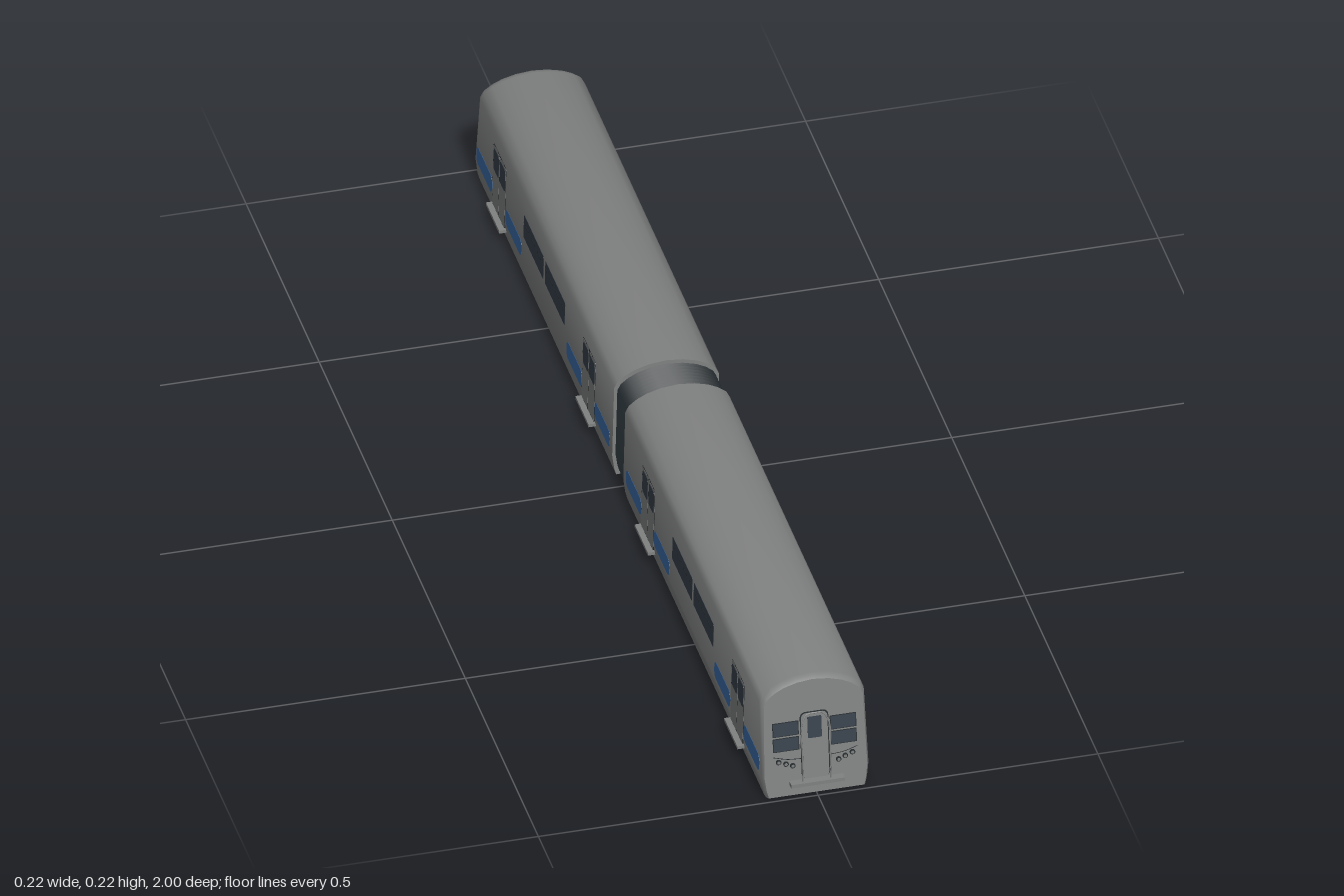
import * as THREE from 'three';
import { toCreasedNormals } from 'three/addons/utils/BufferGeometryUtils.js';

const mat = (name, color) => {
  const m = new THREE.MeshStandardMaterial({ color });
  m.name = name;
  return m;
};

// right half of the car's cross-section, bottom to top
const HALF = [[0.09, 0], [0.0935, 0.014], [0.097, 0.04], [0.0935, 0.181], [0.087, 0.1935],
  [0.073, 0.2045], [0.055, 0.2135], [0.03, 0.2205], [0, 0.2235]];
const SECTION = [...HALF, ...HALF.slice(0, -1).reverse().map(([x, y]) => [-x, y])];
const CY = 0.11;
const frontZ = y => 0.99 - 0.13 * y;                // raked cab face
const wallX = y => 0.097 - 0.0248 * (y - 0.04);     // side wall leaning inwards

// skin through rings of equal length with closed ends; open leaves out the underside
function loft(rings, crease, open) {
  const n = rings[0].length, pos = rings.flat(2), idx = [];
  for (let r = 0; r < rings.length - 1; r++) {
    for (let i = 0; i < (open ? n - 1 : n); i++) {
      const a = r * n + i, b = r * n + (i + 1) % n;
      idx.push(a, b, b + n, a, b + n, a + n);
    }
  }
  for (const [r, flip] of [[0, true], [rings.length - 1, false]]) {
    const c = pos.length / 3;
    const mean = k => rings[r].reduce((s, p) => s + p[k], 0) / n;
    pos.push(mean(0), mean(1), mean(2));
    for (let i = 0; i < n; i++) {
      const a = r * n + i, b = r * n + (i + 1) % n;
      idx.push(...(flip ? [c, b, a] : [c, a, b]));
    }
  }
  const g = new THREE.BufferGeometry();
  g.setAttribute('position', new THREE.Float32BufferAttribute(pos, 3));
  g.setIndex(idx);
  return toCreasedNormals(g, crease);
}

// cross-section shrunk by an inset (bottom by its own amount), set on a slope z(y)
const ring = (inset, z, bottom = 0) => SECTION.map(([x, y]) => {
  const dy = y > CY ? inset : bottom;
  const py = CY + (y - CY) * (1 - dy / CY);
  return [x * (1 - inset / 0.095), py, z(py)];
});

function roundedRect(u0, u1, v0, v1, r) {
  const s = new THREE.Shape();
  s.moveTo(u0 + r, v0);
  s.lineTo(u1 - r, v0).absarc(u1 - r, v0 + r, r, -Math.PI / 2, 0);
  s.lineTo(u1, v1 - r).absarc(u1 - r, v1 - r, r, 0, Math.PI / 2);
  s.lineTo(u0 + r, v1).absarc(u0 + r, v1 - r, r, Math.PI / 2, Math.PI);
  s.lineTo(u0, v0 + r).absarc(u0 + r, v0 + r, r, Math.PI, Math.PI * 1.5);
  return s;
}

export function createModel() {
  const grey = mat('bodyGrey', 0x808281);
  const blue = mat('stripeBlue', 0x3c6caa);
  const glass = mat('windowDark', 0x38414c);
  const dark = mat('seamDark', 0x2a2f32);
  const rubber = mat('bellowsBlack', 0x20282c);

  const add = (parent, name, geo, material, x = 0, y = 0, z = 0) => {
    const m = new THREE.Mesh(geo, material);
    m.name = name;
    m.position.set(x, y, z);
    parent.add(m);
    return m;
  };

  // thin plate lying on a side wall (side = 1 or -1) or on the cab face (side = 0)
  function plate(parent, name, side, a0, a1, v0, v1, r, depth, material) {
    const [u0, u1] = side === 1 ? [-a1, -a0] : [a0, a1];
    const g = new THREE.ExtrudeGeometry(roundedRect(u0, u1, v0, v1, Math.max(r, 0.0003)),
      { depth: depth + 0.001, bevelEnabled: false, curveSegments: 5 });
    g.translate(0, 0, -0.001);
    g.rotateY(side * Math.PI / 2);
    const p = g.attributes.position;
    for (let i = 0; i < p.count; i++) {
      const y = p.getY(i);
      if (side) p.setX(i, p.getX(i) + side * wallX(y));
      else p.setZ(i, p.getZ(i) + frontZ(y));
    }
    g.computeVertexNormals();
    return add(parent, name, g, material);
  }

  function sideDetails(car, s) {
    // blue stripe panels
    for (const [a, b] of [[0.055, 0.16], [0.247, 0.352], [0.66, 0.768], [0.86, 0.968]]) {
      plate(car, 'bluePanel', s, a, b, 0.043, 0.076, 0.013, 0.0004, blue);
    }
    // two long windows with dividing bars
    for (const a of [0.368, 0.514]) {
      plate(car, 'sideWindow', s, a, a + 0.135, 0.094, 0.14, 0.003, 0.0004, glass);
      plate(car, 'windowBar', s, a, a + 0.135, 0.123, 0.1242, 0, 0.0007, dark);
    }
    // double doors with panes and a step
    for (const c of [0.203, 0.815]) {
      plate(car, 'doorSeam', s, c - 0.043, c + 0.043, 0.028, 0.153, 0.006, 0.0003, dark);
      for (const d of [-1, 1]) {
        const m = c + d * 0.0213;
        plate(car, 'doorLeaf', s, m - 0.0203, m + 0.0203, 0.029, 0.1515, 0.004, 0.0006, grey);
        plate(car, 'doorWindow', s, m - 0.018, m + 0.018, 0.102, 0.146, 0.007, 0.0009, glass);
      }
      add(car, 'doorStep', new THREE.BoxGeometry(0.018, 0.006, 0.09), grey, s * 0.099, 0.025, c);
    }
  }

  function cab(car) {
    // centre door with pane
    plate(car, 'cabDoorSeam', 0, -0.0255, 0.0255, 0.03, 0.157, 0.01, 0.0008, dark);
    plate(car, 'cabDoor', 0, -0.0235, 0.0235, 0.03, 0.155, 0.009, 0.002, grey);
    plate(car, 'cabDoorWindow', 0, -0.0125, 0.0125, 0.107, 0.148, 0.002, 0.0025, glass);
    // arched rail around the door
    const path = [[-1, 0.03], [-1, 0.08], [-1, 0.135], [-0.6, 0.155], [0, 0.157],
      [0.6, 0.155], [1, 0.135], [1, 0.08], [1, 0.03]]
      .map(([x, y]) => new THREE.Vector3(x * 0.025, y, frontZ(y) + (y > 0.15 ? 0.006 : 0.009)));
    add(car, 'doorRail', new THREE.TubeGeometry(new THREE.CatmullRomCurve3(path), 40, 0.0013, 6), grey);
    add(car, 'cabStep', new THREE.BoxGeometry(0.096, 0.007, 0.03), grey, 0, 0.0255, 0.985);
    for (const s of [-1, 1]) {
      // windscreens in two rows
      for (const [v0, v1] of [[0.087, 0.113], [0.116, 0.143]]) {
        const [a, b] = s > 0 ? [0.028, 0.075] : [-0.075, -0.028];
        plate(car, 'windscreenFrame', 0, a, b, v0, v1, 0.001, 0.0005, dark);
        plate(car, 'windscreen', 0, a + 0.0015, b - 0.0015, v0 + 0.0015, v1 - 0.0015, 0.001, 0.001, glass);
      }
      // trim line and three lamps below
      const line = [[0.026, 0.069], [0.05, 0.071], [0.075, 0.078]]
        .map(([x, y]) => new THREE.Vector3(s * x, y, frontZ(y)));
      add(car, 'trimLine', new THREE.TubeGeometry(new THREE.CatmullRomCurve3(line), 10, 0.0007, 5), dark);
      for (const [x, y] of [[0.041, 0.058], [0.053, 0.063], [0.066, 0.068]]) {
        for (const [name, r, d, m] of [['lampRing', 0.0048, 0.005, dark], ['lampLens', 0.003, 0.006, grey]]) {
          const g = new THREE.CylinderGeometry(r, r, d, 14).rotateX(Math.PI / 2);
          add(car, name, g, m, s * x, y, frontZ(y));
        }
      }
    }
  }

  // recessed dark floor framed by the skirts
  function underside(car) {
    add(car, 'underfloor', new THREE.BoxGeometry(0.176, 0.004, 0.9), rubber, 0, 0.03, 0.49);
    for (const s of [-1, 1]) {
      add(car, 'sideSkirt', new THREE.BoxGeometry(0.004, 0.03, 0.93), grey, s * 0.088, 0.0151, 0.505);
    }
    add(car, 'frontSkirt', new THREE.BoxGeometry(0.174, 0.03, 0.045), grey, 0, 0.0151, 0.9585);
    add(car, 'rearSkirt', new THREE.BoxGeometry(0.174, 0.03, 0.015), grey, 0, 0.0151, 0.046);
  }

  function makeCar(name) {
    const car = new THREE.Group();
    car.name = name;
    add(car, 'carBody', loft([ring(0, () => 0.038), ring(0, y => frontZ(y) - 0.014),
      ring(0.0015, y => frontZ(y) - 0.006), ring(0.005, frontZ, 0.001)], 0.7, true), grey);
    underside(car);
    for (const s of [-1, 1]) sideDetails(car, s);
    cab(car);
    return car;
  }

  const model = new THREE.Group();
  model.name = 'articulatedTrain';
  const rear = makeCar('rearCar');
  rear.rotation.y = Math.PI;
  model.add(makeCar('frontCar'), rear);

  // pleated bellows joining the cars
  const pleats = [];
  for (let i = 0; i <= 16; i++) {
    const inset = i % 2 ? 0.005 : 0.013;
    pleats.push(ring(inset, () => -0.04 + i * 0.005, inset + 0.004));
  }
  add(model, 'bellows', loft(pleats, 0.3, false), rubber);
  return model;
}
